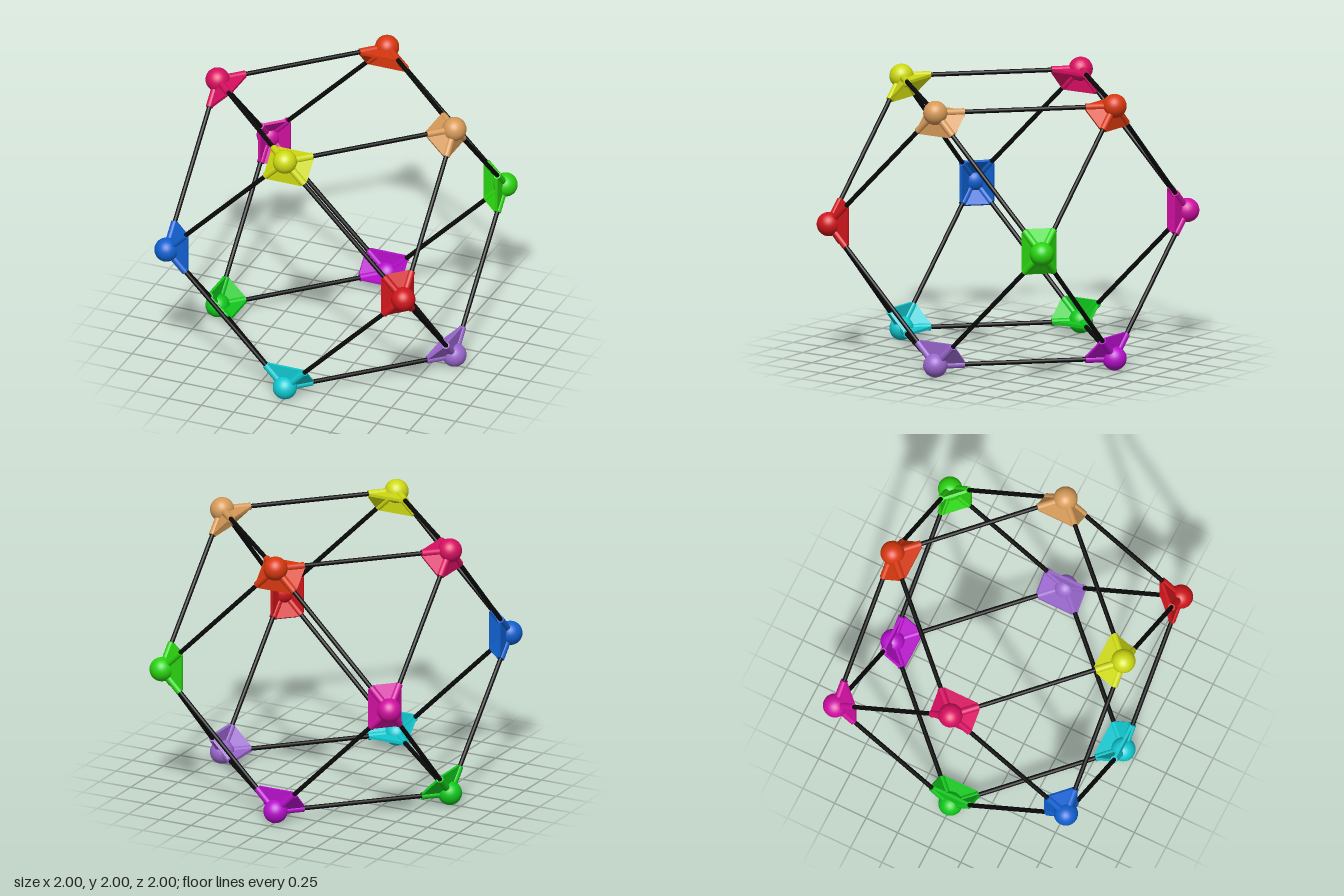
import * as THREE from 'three';

const A = 0.914;          // node offset along two axes
const BALL = 0.086;       // ball radius
const SLEEVE_R = 0.026;
const SLEEVE_L = 0.21;
const STRUT_R = 0.016;
const WEB_T = 0.02;       // web plate thickness

// node direction and colour
const NODES = [
  [0, 1, 1, 0xcdd911], [0, -1, 1, 0x10c8d0], [-1, 0, 1, 0x1060cf], [1, 0, 1, 0xd0161c],
  [-1, 1, 0, 0xd90f62], [1, 1, 0, 0xd69a58], [-1, -1, 0, 0x10c81c], [1, -1, 0, 0x9966cc],
  [0, 1, -1, 0xd8380f], [0, -1, -1, 0xb80fcc], [-1, 0, -1, 0xd00fa0], [1, 0, -1, 0x2ad30f],
];

// cylinder between two points
function rod(from, to, radius, material, name) {
  const dir = to.clone().sub(from);
  const mesh = new THREE.Mesh(new THREE.CylinderGeometry(radius, radius, dir.length(), 24), material);
  mesh.position.copy(from).add(to).multiplyScalar(0.5);
  mesh.quaternion.setFromUnitVectors(new THREE.Vector3(0, 1, 0), dir.normalize());
  mesh.name = name;
  return mesh;
}

// flat plate filling the angle between two sleeves u and v
function web(u, v, material) {
  const angle = u.angleTo(v), c = Math.cos(angle), s = Math.sin(angle);
  const shape = new THREE.Shape([
    [0, 0], [SLEEVE_L, 0], [SLEEVE_L, SLEEVE_R],
    [SLEEVE_L * c + SLEEVE_R * s, SLEEVE_L * s - SLEEVE_R * c], [SLEEVE_L * c, SLEEVE_L * s],
  ].map(([x, y]) => new THREE.Vector2(x, y)));
  const geometry = new THREE.ExtrudeGeometry(shape, { depth: WEB_T, bevelEnabled: false });
  geometry.translate(0, 0, -WEB_T / 2);
  const normal = u.clone().cross(v).normalize();
  geometry.applyMatrix4(new THREE.Matrix4().makeBasis(u, normal.clone().cross(u), normal));
  const mesh = new THREE.Mesh(geometry, material);
  mesh.name = 'web';
  return mesh;
}

export function createModel() {
  const model = new THREE.Group();
  model.name = 'cuboctahedronFrame';
  const black = new THREE.MeshStandardMaterial({ color: 0x0a0a0a });
  const points = NODES.map(([x, y, z]) => new THREE.Vector3(x, y, z).multiplyScalar(A));
  const areNeighbours = (p, q) => Math.abs(p.distanceTo(q) - A * Math.SQRT2) < 0.01;
  const lift = new THREE.Vector3(0, 1, 0);

  // connectors
  points.forEach((p, i) => {
    const material = new THREE.MeshStandardMaterial({ color: NODES[i][3] });
    const node = new THREE.Group();
    node.name = 'connector';
    node.position.copy(p).add(lift);

    const ball = new THREE.Mesh(new THREE.SphereGeometry(BALL, 40, 28), material);
    ball.name = 'ball';
    node.add(ball);

    const dirs = points.filter(q => areNeighbours(p, q)).map(q => q.clone().sub(p).normalize());
    dirs.forEach((u, j) => {
      node.add(rod(new THREE.Vector3(), u.clone().multiplyScalar(SLEEVE_L), SLEEVE_R, material, 'sleeve'));
      // webs join adjacent sleeves, skipping the opposite one
      dirs.slice(j + 1).forEach(v => {
        if (u.dot(v) > -0.1) node.add(web(u, v, material));
      });
    });
    model.add(node);
  });

  // struts
  points.forEach((p, i) => points.slice(i + 1).forEach(q => {
    if (areNeighbours(p, q)) {
      const inset = q.clone().sub(p).setLength(0.1);
      model.add(rod(p.clone().add(inset).add(lift), q.clone().sub(inset).add(lift), STRUT_R, black, 'strut'));
    }
  }));
  return model;
}
